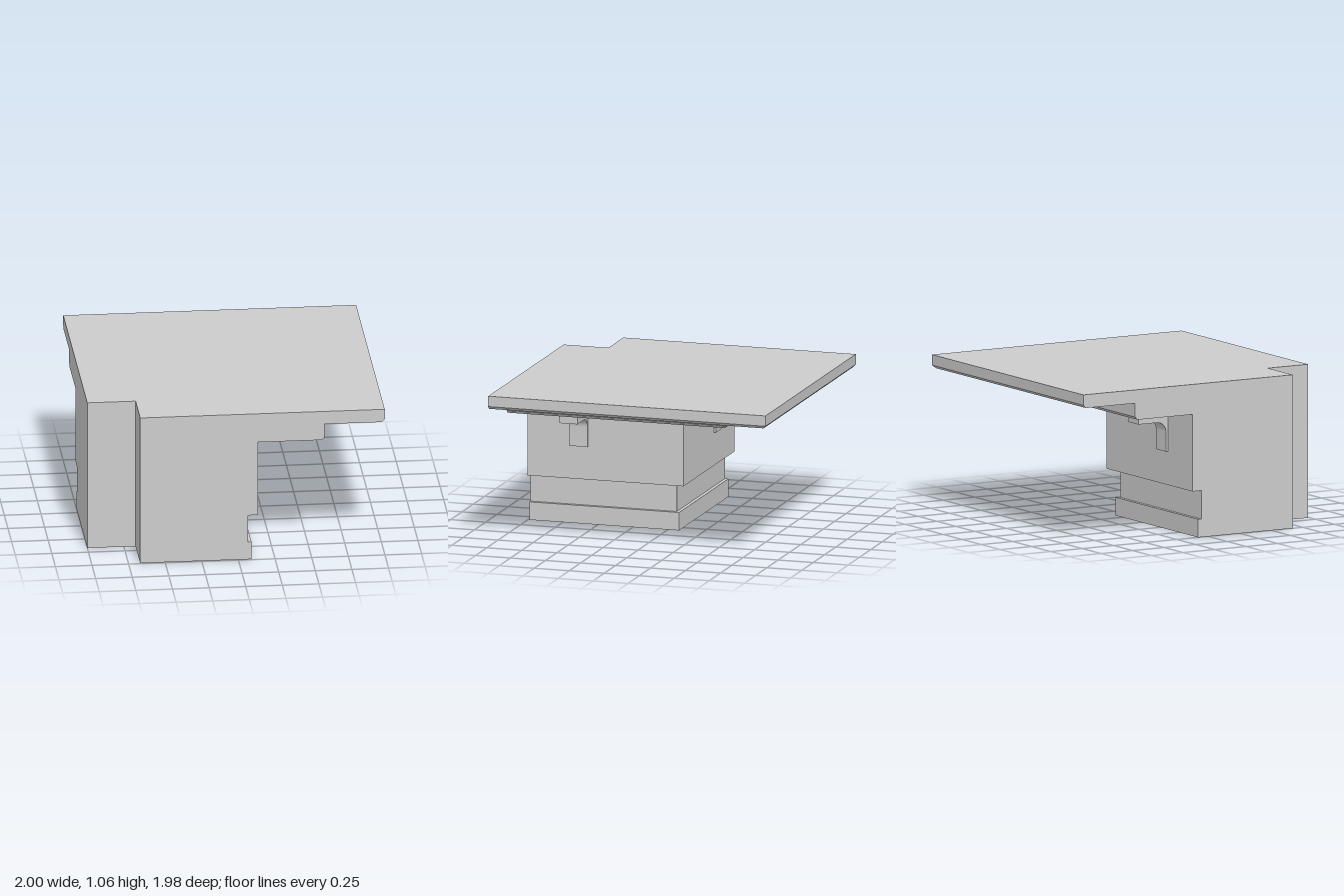
import * as THREE from 'three';
import { toCreasedNormals } from 'three/addons/utils/BufferGeometryUtils.js';

const material = new THREE.MeshStandardMaterial({ color: 0xcccccc });
const FRONT = 0.99, LEFT = -1, NOTCH = 0.67, SHIFT = 0.01;

// Stepped moulding profile, bottom to top: [reach from the corner axis, height]
const PROFILE = [
  [0.09, 0], [0.09, 0.125], [0.065, 0.125], [0.065, 0.32], [0.135, 0.32],
  [0.135, 0.85], [0.57, 0.85], [0.59, 0.87], [0.59, 0.965],
  [0.98, 0.965], [1, 0.985], [1, 1.057],
];

// Notched plan outline at one profile point, counterclockwise seen from above
function ring([reach, y]) {
  const back = SHIFT - reach;
  return [
    [-NOTCH, FRONT], [reach, FRONT], [reach, back],
    [LEFT, back], [LEFT, NOTCH], [-NOTCH, NOTCH],
  ].map(([x, z]) => new THREE.Vector3(x, y, z));
}

// Loft the outlines into one closed, mitred solid
function corniceGeometry() {
  const points = [];
  const triangle = (a, b, c) => {
    if (new THREE.Triangle(a, b, c).getArea() > 1e-7) points.push(a, b, c);
  };
  const rings = PROFILE.map(ring);
  for (let r = 0; r < rings.length - 1; r++) {
    const low = rings[r], high = rings[r + 1];
    for (let i = 0; i < 6; i++) {
      const j = (i + 1) % 6;
      triangle(low[i], low[j], high[j]);
      triangle(low[i], high[j], high[i]);
    }
  }
  // Caps fan out from the inner notch corner
  const bottom = rings[0], top = rings[rings.length - 1];
  for (let i = 0; i < 4; i++) {
    triangle(top[5], top[i], top[i + 1]);
    triangle(bottom[5], bottom[i + 1], bottom[i]);
  }
  const geometry = new THREE.BufferGeometry().setFromPoints(points);
  geometry.computeVertexNormals();
  return geometry;
}

// Small bracket with a rounded inner curve, reaching along +x
function bracketGeometry() {
  const shape = new THREE.Shape();
  shape.moveTo(0.135, 0.55);
  shape.lineTo(0.15, 0.55);
  shape.lineTo(0.15, 0.685);
  shape.absarc(0.22, 0.685, 0.07, Math.PI, Math.PI / 2, true);
  shape.lineTo(0.37, 0.755);
  shape.lineTo(0.37, 0.85);
  shape.lineTo(0.135, 0.85);
  const geometry = new THREE.ExtrudeGeometry(shape, {
    depth: 0.13, bevelEnabled: false, curveSegments: 12,
  });
  return toCreasedNormals(geometry, 0.5);
}

export function createModel() {
  const model = new THREE.Group();
  model.name = 'corniceCorner';

  const cornice = new THREE.Mesh(corniceGeometry(), material);
  cornice.name = 'steppedCornice';
  model.add(cornice);

  // One bracket on each outer wall
  const geometry = bracketGeometry();
  const leftBracket = new THREE.Mesh(geometry, material);
  leftBracket.name = 'leftBracket';
  leftBracket.position.z = 0.555;

  const backBracket = new THREE.Mesh(geometry, material);
  backBracket.name = 'backBracket';
  backBracket.rotation.y = Math.PI / 2;
  backBracket.position.set(-0.675, 0, SHIFT);

  model.add(leftBracket, backBracket);
  return model;
}
